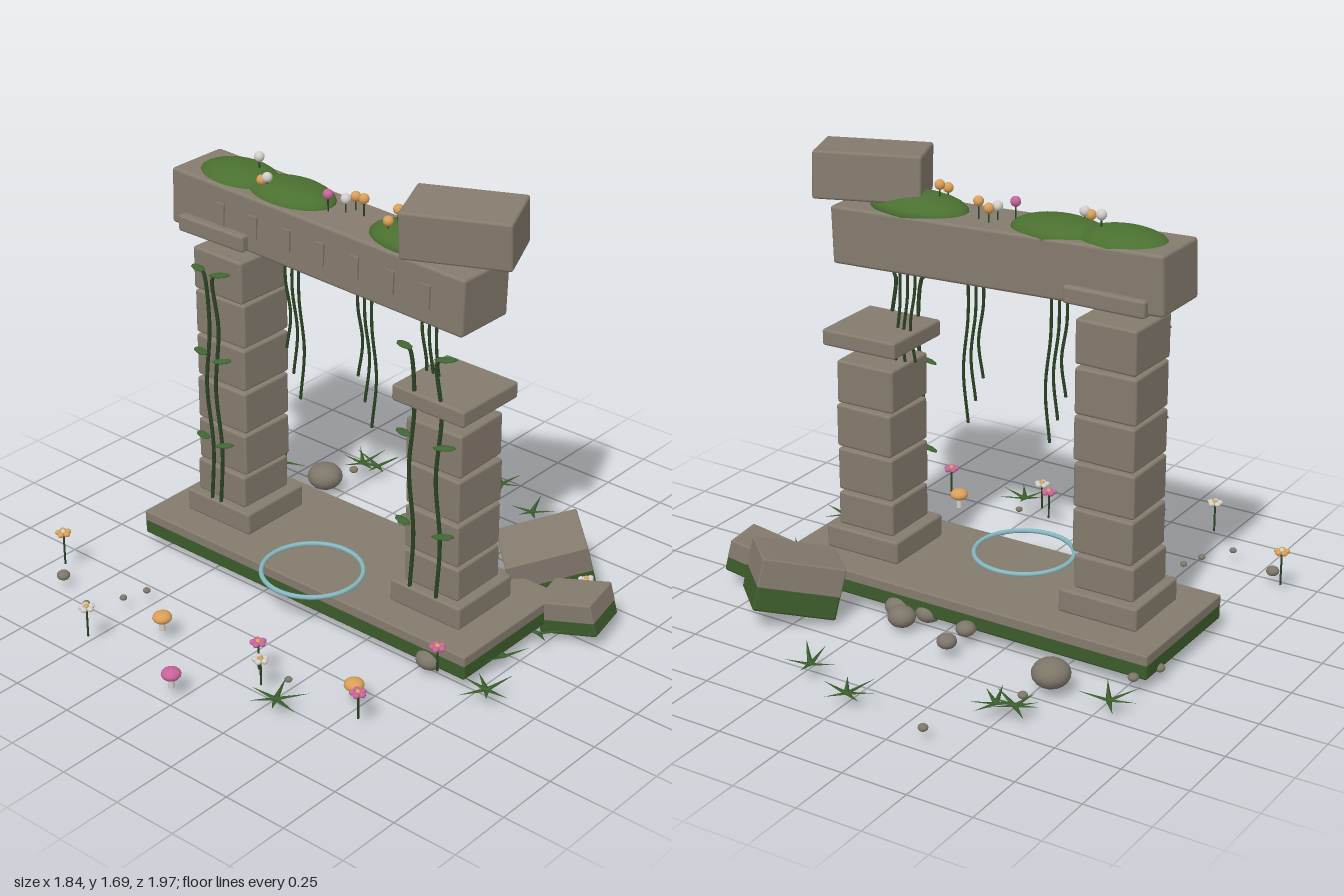
import * as THREE from 'three';
import { RoundedBoxGeometry } from 'three/addons/geometries/RoundedBoxGeometry.js';

const mat = (name, color, side = THREE.FrontSide) => {
  const m = new THREE.MeshStandardMaterial({ color, side });
  m.name = name;
  return m;
};

export function createModel() {
  const root = new THREE.Group();
  root.name = 'ruinedGate';
  const stone = mat('stone', 0x857b6e);
  const rock = mat('rock', 0x7d766a);
  const moss = mat('moss', 0x4a7030);
  const darkMoss = mat('darkMoss', 0x3c5c2a);
  const vine = mat('vine', 0x2c4424);
  const leaf = mat('leaf', 0x3f6630, THREE.DoubleSide);
  const orange = mat('orangePetal', 0xd99f58);
  const white = mat('whitePetal', 0xd2cec8);
  const pink = mat('pinkPetal', 0xc8649a);
  const glow = mat('paleTeal', 0x86b8c0);

  let seed = 7;
  const rand = () => ((seed = (seed * 16807) % 2147483647) / 2147483647);
  const jitter = (a) => (rand() - 0.5) * 2 * a;

  const add = (name, geo, m, pos = [0, 0, 0], rot = [0, 0, 0], parent = root) => {
    const mesh = new THREE.Mesh(geo, m);
    mesh.name = name;
    mesh.position.set(...pos);
    mesh.rotation.set(...rot);
    parent.add(mesh);
    return mesh;
  };
  const group = (name, pos = [0, 0, 0], rot = [0, 0, 0], parent = root) => {
    const g = new THREE.Group();
    g.name = name;
    g.position.set(...pos);
    g.rotation.set(...rot);
    parent.add(g);
    return g;
  };
  const block = (w, h, d, r = 0.01) => new RoundedBoxGeometry(w, h, d, 2, r);
  const tube = (pts, r, n = 16) =>
    new THREE.TubeGeometry(new THREE.CatmullRomCurve3(pts.map((p) => new THREE.Vector3(...p))), n, r, 5);
  const ball = (name, r, m, pos, scale = [1, 1, 1], parent = root) => {
    const s = add(name, new THREE.SphereGeometry(r, 14, 10), m, pos, [0, 0, 0], parent);
    s.scale.set(...scale);
    return s;
  };

  // Stone with a mossy lower layer
  const mossyBlock = (name, [w, h, d], share, pos, rot) => {
    const g = group(name, pos, rot);
    const low = h * share;
    add('mossyBottom', block(w, low, d), darkMoss, [0, (low - h) / 2, 0], [0, 0, 0], g);
    add('stoneTop', block(w, h - low + 0.012, d, 0.006), stone, [0, low / 2 - 0.006, 0], [0, 0, 0], g);
  };
  mossyBlock('baseSlab', [1.55, 0.095, 0.555], 0.68, [-0.055, 0.0925, 0.007], [0, 0, 0]);
  mossyBlock('largeFallenBlock', [0.31, 0.2, 0.25], 0.5, [0.545, 0.14, -0.425], [0.12, 0.8, 0.16]);
  mossyBlock('smallFallenBlock', [0.23, 0.13, 0.18], 0.5, [0.785, 0.1, -0.28], [0.05, 0.17, 0.23]);

  // Columns: plinth, stacked drums and capital
  const courses = [[0.23, 0.36], [0.37, 0.535], [0.545, 0.71], [0.72, 0.885], [0.893, 1.065], [1.072, 1.237]];
  const column = (name, x, count, capY, capTilt) => {
    const g = group(name, [x, 0, 0.013]);
    add('plinth', block(0.315, 0.09, 0.305), stone, [0, 0.185, 0], [0, 0, 0], g);
    courses.slice(0, count).forEach(([a, b]) =>
      add('columnBlock', block(0.24, b - a, 0.24), stone,
        [jitter(0.005), (a + b) / 2, jitter(0.004)], [0, jitter(0.03), jitter(0.012)], g));
    add('capital', block(0.315, 0.063, 0.305), stone, [0, capY, 0], [0, 0, capTilt], g);
  };
  column('leftColumn', -0.557, 6, 1.328, 0);
  column('rightColumn', 0.443, 4, 0.977, -0.012);

  // Tilted lintel with a row of raised tabs
  const lintel = group('lintel', [-0.102, 1.388, 0.01], [0, 0, -0.037]);
  add('lintelBeam', block(1.335, 0.215, 0.25, 0.012), stone, [0, 0, 0], [0, 0, 0], lintel);
  for (let i = 0; i < 7; i++)
    add('lintelTab', new THREE.BoxGeometry(0.04, 0.085, 0.02), stone, [-0.427 + i * 0.156, 0, 0.122], [0, 0, 0], lintel);
  add('toppledBlock', block(0.39, 0.175, 0.24), stone, [0.46, 1.588, 0.002], [0.06, 0.4, -0.01]);

  // Moss cushions on the lintel
  [[-0.555, 1.497, 0.17], [-0.305, 1.492, 0.185], [0.265, 1.483, 0.195]].forEach(([x, y, rx]) => {
    const m = add('mossCushion', new THREE.SphereGeometry(1, 24, 14), moss, [x, y, 0.005]);
    m.scale.set(rx, 0.057, 0.12);
  });

  // Thin ring lying on the slab
  add('groundRing', new THREE.TorusGeometry(0.187, 0.009, 8, 48), glow, [-0.055, 0.145, 0.198], [Math.PI / 2, 0, 0]);

  // Trios of vines hanging below the lintel
  [-0.335, 0.005, 0.295].forEach((x0) => {
    for (let i = 0; i < 3; i++) {
      const x = x0 + i * 0.032, end = 0.89 - i * 0.093, len = 1.28 - end;
      add('hangingVine', tube([[x, 1.28, 0.01], [x + 0.004, 1.28 - len * 0.3, 0.016],
        [x + 0.018, 1.28 - len * 0.65, 0.006], [x + 0.002, end, 0.012]], 0.006), vine);
    }
  });

  // Climbing vines with leaves on the column fronts
  const leafShape = (l, w) => {
    const g = new THREE.SphereGeometry(1, 8, 6);
    g.scale(l, 0.006, w);
    return g;
  };
  [[-0.595, -0.55], [0.368, 0.487]].forEach((pair, c) => pair.forEach((x, i) => {
    const side = i ? 1 : -1;
    add('climbingVine', tube([[x, 0.22, 0.155], [x + 0.01, 0.45, 0.15], [x - 0.008, 0.7, 0.156],
      [x + 0.008, 0.95, 0.15], [x - 0.008, 1.16, 0.155], [x + 0.03 * side, 1.175, 0.15]], 0.0075, 30), vine);
    [0.49, 0.84, 1.175].forEach((y) => {
      if (c === 0 && y < 1 && i) return add('vineLeaf', leafShape(0.04, 0.016), leaf, [x + 0.03, y - 0.01, 0.16], [0.2, 0.4, 0.1]);
      add('vineLeaf', leafShape(0.045, 0.018), leaf, [x + 0.03 * side, y, 0.16], [0.15, 0.3 * side, 0.12]);
    });
  }));

  // Rocks and pebbles: x, z, radius, height
  [[-0.555, -0.445, 0.07, 0.08], [-0.107, -0.41, 0.037, 0.06], [-0.113, -0.295, 0.037, 0.06],
    [0.138, -0.33, 0.052, 0.055], [0.2, -0.26, 0.05, 0.05], [-0.56, 0.2, 0.06, 0.055],
    [0.555, 0.265, 0.053, 0.06], [0.08, -0.24, 0.05, 0.05], [-0.83, -0.175, 0.02, 0.055],
    [-0.79, -0.29, 0.02, 0.06], [-0.365, -0.95, 0.018, 0.055], [-0.53, -0.59, 0.018, 0.055],
    [-0.52, 0.59, 0.014, 0.055], [-0.55, 0.68, 0.014, 0.055], [-0.625, 0.795, 0.014, 0.055],
    [-0.83, 0.715, 0.025, 0.055], [0.26, 0.68, 0.014, 0.055]].forEach(([x, z, r, y]) => {
    const m = add('rock', new THREE.IcosahedronGeometry(r, 2), rock, [x, y, z], [0, rand() * 6, 0]);
    m.scale.y = 0.75;
  });

  // Mushrooms
  [[-0.03, 0.96, pink], [-0.305, 0.725, orange], [0.49, 0.6, orange]].forEach(([x, z, m]) => {
    const g = group('mushroom', [x, 0.095, z]);
    ball('mushroomCap', 0.036, m, [0, 0, 0], [1, 0.62, 1], g);
    add('mushroomStem', new THREE.CylinderGeometry(0.009, 0.012, 0.05, 8), white, [0, -0.03, 0], [0, 0, 0], g);
  });

  // Five-petalled flowers on thin stems
  [[-0.895, 0.645, 0.18, orange], [-0.475, 0.93, 0.165, white], [0.13, 0.69, 0.157, pink],
    [0.2, 0.755, 0.15, white], [0.585, 0.69, 0.15, pink], [0.61, 0.295, 0.145, pink],
    [0.73, -0.42, 0.13, white]].forEach(([x, z, y, m]) => {
    const g = group('flower', [x, y, z]);
    for (let i = 0; i < 5; i++) {
      const a = (i / 5) * Math.PI * 2;
      ball('petal', 0.012, m, [Math.cos(a) * 0.019, 0, Math.sin(a) * 0.019], [1, 0.8, 1], g);
    }
    ball('flowerCentre', 0.01, m === orange ? white : orange, [0, 0.004, 0], [1, 1, 1], g);
    const h = y - 0.045;
    add('flowerStem', new THREE.CylinderGeometry(0.004, 0.004, h, 5), vine, [0, -h / 2, 0], [0, 0, 0], g);
  });

  // Buds on the lintel
  [[-0.478, 1.588, -0.017, white], [-0.39, 1.55, 0.068, orange], [-0.37, 1.562, 0.06, white],
    [-0.112, 1.56, 0.033, pink], [-0.062, 1.545, -0.003, white], [-0.05, 1.545, -0.042, orange],
    [0.004, 1.557, -0.022, orange], [0.184, 1.578, 0.01, orange], [0.184, 1.553, 0.064, orange]]
    .forEach(([x, y, z, m]) => {
      ball('bud', 0.019, m, [x, y, z]);
      add('budStem', new THREE.CylinderGeometry(0.003, 0.003, 0.06, 5), vine, [x, y - 0.035, z]);
    });

  // Spiky grass tufts: x, z, blade count, height
  const blade = new THREE.ConeGeometry(0.011, 0.115, 4);
  blade.translate(0, 0.0575, 0);
  blade.scale(1, 1, 0.25);
  [[-0.015, -0.89, 6], [0.21, -0.79, 5], [-0.54, -0.66, 7], [-0.48, -0.68, 6], [-0.79, -0.46, 5],
    [0.3, 0.79, 6], [0.815, 0.28, 6], [0.735, 0.08, 3], [0.74, -0.12, 3]].forEach(([x, z, n]) => {
    const g = group('grassTuft', [x, 0.05, z], [0, rand() * 6, 0]);
    for (let i = 0; i < n; i++) {
      const turn = group('bladeTurn', [0, 0, 0], [0, (i / n) * Math.PI * 2 + jitter(0.4), 0], g);
      add('grassBlade', blade, leaf, [0, 0, 0], [1.36 + jitter(0.12), 0, 0], turn).scale.y = 0.75 + rand() * 0.3;
    }
  });

  return root;
}
